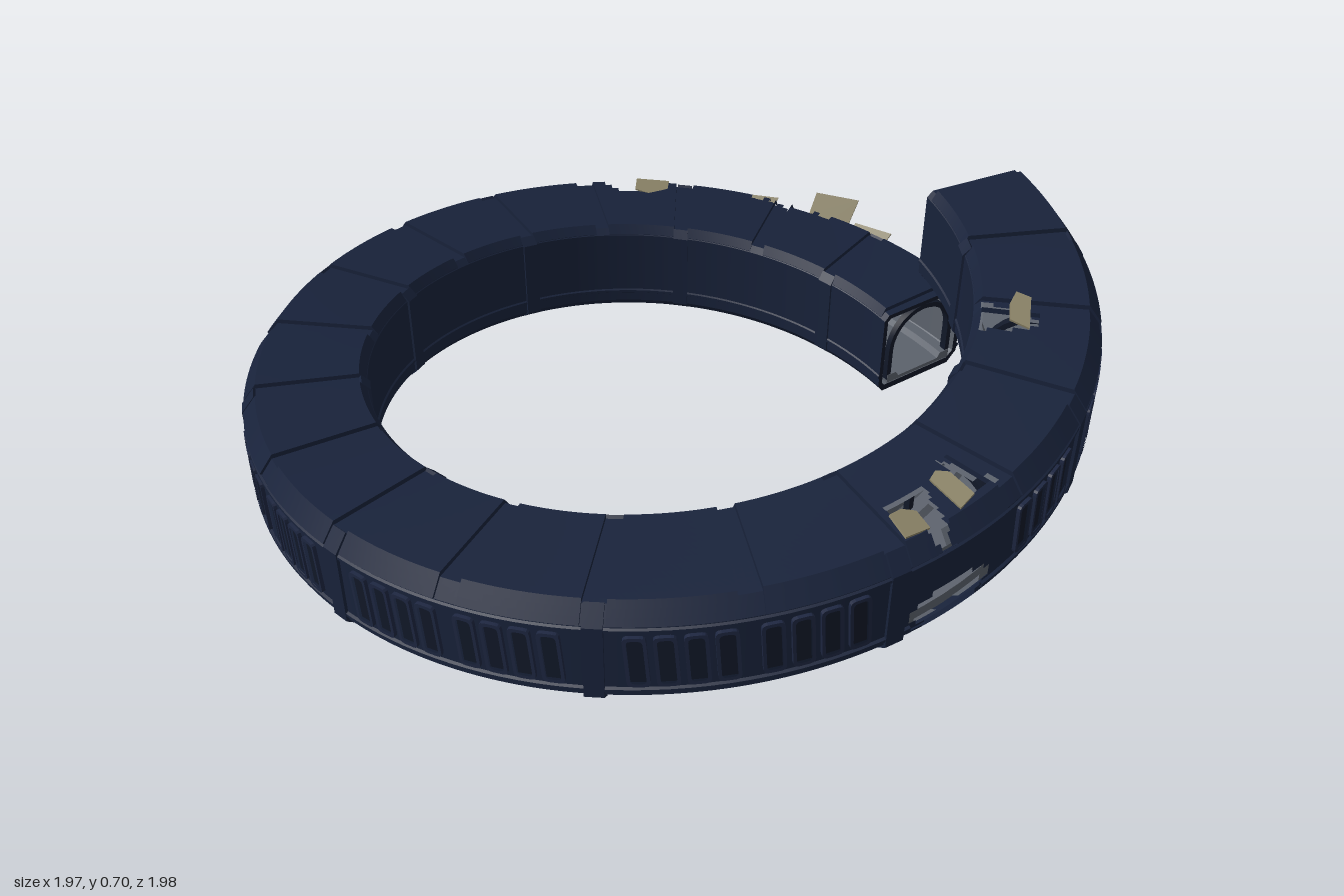
import * as THREE from 'three';
import { toCreasedNormals } from 'three/addons/utils/BufferGeometryUtils.js';

const START = -4.4, END = 346.4, RISE = 0.44, MODULE = (END - START) / 10;
const NAVY = 0x18223a, DARK = 0x111828, OLIVE = 0x3a3626, TAN = 0x8c8468, STEEL = 0x5c626c;
const rad = THREE.MathUtils.degToRad;

// Point on the rising ring: angle from the back towards -x, radius, height above the underside
const ringY = t => RISE * (t - START) / (END - START);
const at = (t, r, h) => new THREE.Vector3(-r * Math.sin(rad(t)), ringY(t) + h, -r * Math.cos(rad(t)));

// Broken openings, each a test on angle, radius and height
const inTri = (u, v) => v > 0 && v < 1 && Math.abs(u) < 1 - v * 0.75;
const jag = t => 0.008 * Math.sin(t * 2.1) + 0.005 * Math.sin(t * 4.7);
const holes = [
  (t, r, h) => t > 19 && t < 46 && r > 0.935 + jag(t) + Math.abs(t - 28) * 0.0018 && h > 0.055 + jag(t),
  (t, r, h) => r > 0.89 && h > 0.1 && Math.abs(t - 57.5) < 5.5 - (0.982 - r) * 35 - (0.25 - h) * 20,
  (t, r, h) => r > 0.95 && Math.hypot((t - 97) / 2.2, (h - 0.11) / 0.045) < 1,
  (t, r, h) => h > 0.22 && inTri((t - 308) / 4.5, (r - 0.72) / 0.13),
  (t, r, h) => h > 0.22 && inTri((t - 273.5) / 2.6, (0.94 - r) / 0.13),
  (t, r, h) => h > 0.22 && inTri((t - 265) / 4, (r - 0.84) / 0.14),
  (t, r, h) => r > 0.95 && Math.hypot((t - 267) / 6, (h - 0.07) / 0.045) < 1,
];
const broken = (t, r, h) => holes.some(f => f(t, r, h));

function quad(list, a, b, c, d) {
  for (const p of [a, b, c, a, c, d]) list.push(p.x, p.y, p.z);
}

function finish(group, name, color, list) {
  const g = new THREE.BufferGeometry();
  g.setAttribute('position', new THREE.Float32BufferAttribute(list, 3));
  const m = new THREE.Mesh(toCreasedNormals(g, 0.45),
    new THREE.MeshStandardMaterial({ color, side: THREE.DoubleSide }));
  m.name = name;
  group.add(m);
  return m;
}

// Split the long edges of a section so openings get a fine outline
function densify(profile, step) {
  const out = [];
  for (let i = 0; i < profile.length - 1; i++) {
    const [a, b] = [profile[i], profile[i + 1]];
    const n = Math.max(1, Math.round(Math.hypot(b[0] - a[0], b[1] - a[1]) / step));
    for (let k = 0; k < n; k++) out.push([a[0] + (b[0] - a[0]) * k / n, a[1] + (b[1] - a[1]) * k / n]);
  }
  return [...out, profile[profile.length - 1]];
}

// Sweep a section along the ring, leaving out broken cells
function sweep(list, profile, t0, t1, steps) {
  for (let s = 0; s < steps; s++) {
    const a = t0 + (t1 - t0) * s / steps, b = t0 + (t1 - t0) * (s + 1) / steps;
    for (let i = 0; i < profile.length - 1; i++) {
      const [p, q] = [profile[i], profile[i + 1]];
      if (broken((a + b) / 2, (p[0] + q[0]) / 2, (p[1] + q[1]) / 2)) continue;
      quad(list, at(a, ...p), at(a, ...q), at(b, ...q), at(b, ...p));
    }
  }
}

// Band between two matching sections, with its sides and both ends
function band(list, outer, inner, t0, t1, steps, step = 1) {
  sweep(list, densify([...outer, ...[...inner].reverse(), outer[0]], step), t0, t1, steps);
  for (const t of [t0, t1]) for (let i = 0; i < outer.length - 1; i++)
    quad(list, at(t, ...outer[i]), at(t, ...outer[i + 1]), at(t, ...inner[i + 1]), at(t, ...inner[i]));
}

const HULL = [[0.7, 0.02], [0.715, 0], [0.95, 0], [0.98, 0.03], [0.98, 0.215], [0.953, 0.25],
  [0.715, 0.25], [0.7, 0.235], [0.7, 0.02]];
const LINER = [[0.712, 0.027], [0.72, 0.018], [0.945, 0.018], [0.966, 0.035], [0.968, 0.21], [0.948, 0.238],
  [0.722, 0.238], [0.712, 0.23], [0.712, 0.027]];

const arch = radius => {
  const pts = [[0.84 + radius, 0.03]];
  for (let i = 0; i <= 14; i++) {
    const a = Math.PI * i / 14;
    pts.push([0.84 + radius * Math.cos(a), 0.125 + radius * Math.sin(a)]);
  }
  return [...pts, [0.84 - radius, 0.03]];
};

function windowGeometry() {
  const slot = (P, w, h, r) => {
    const s = new P();
    s.moveTo(-w, -h + r); s.lineTo(-w, h - r); s.quadraticCurveTo(-w, h, -w + r, h);
    s.lineTo(w - r, h); s.quadraticCurveTo(w, h, w, h - r);
    s.lineTo(w, -h + r); s.quadraticCurveTo(w, -h, w - r, -h);
    s.lineTo(-w + r, -h); s.quadraticCurveTo(-w, -h, -w, -h + r);
    return s;
  };
  const s = slot(THREE.Shape, 0.023, 0.066, 0.012);
  s.holes.push(slot(THREE.Path, 0.016, 0.058, 0.01));
  return new THREE.ExtrudeGeometry(s, { depth: 0.012, bevelEnabled: false, curveSegments: 3 });
}

export function createModel() {
  const group = new THREE.Group();
  group.name = 'brokenRingCorridor';

  // Outer skin, inner lining and the rims of both open ends
  const hull = [], liner = [], rims = [];
  sweep(hull, densify(HULL, 0.014), START, END, 340);
  sweep(liner, densify(LINER, 0.025), START, END, 200);
  for (const t of [START, END]) for (let i = 0; i < HULL.length - 1; i++)
    quad(rims, at(t, ...HULL[i]), at(t, ...HULL[i + 1]), at(t, ...LINER[i + 1]), at(t, ...LINER[i]));
  finish(group, 'hull', NAVY, hull);
  finish(group, 'lining', STEEL, liner);
  finish(group, 'endRims', DARK, rims);

  // Walkway with raised kerbs
  const floor = [];
  band(floor, [[0.73, 0.045], [0.76, 0.045], [0.77, 0.03], [0.91, 0.03], [0.92, 0.045], [0.95, 0.045]],
    [[0.73, 0.02], [0.76, 0.02], [0.77, 0.02], [0.91, 0.02], [0.92, 0.02], [0.95, 0.02]], START, END, 120);
  finish(group, 'walkway', STEEL, floor);

  // Repeating roof slabs, pillars, arches, skirts and underside panels
  const slabs = [], pillars = [], arches = [], under = [], trims = [];
  const addArch = t => band(arches, arch(0.112), arch(0.098), t - 0.6, t + 0.6, 1);
  addArch(START + 0.7);
  addArch(END - 0.7);
  for (let m = 0; m < 10; m++) {
    const mid = START + MODULE * (m + 0.5);
    for (const side of [-1, 1]) {
      const c = mid + side * MODULE / 4;
      band(slabs, [[0.702, 0.238], [0.717, 0.261], [0.952, 0.261], [0.984, 0.219]],
        [[0.702, 0.236], [0.717, 0.248], [0.952, 0.248], [0.978, 0.215]], c - 7.3, c + 7.3, 14, 0.018);
      band(under, [[0.76, 0.001], [0.91, 0.001]], [[0.76, -0.002], [0.91, -0.002]], c - 5.5, c + 5.5, 5);
    }
    // Pillars on the outer and inner walls
    band(pillars, [[0.955, -0.001], [0.987, 0.028], [0.987, 0.216], [0.956, 0.256]],
      [[0.95, 0.002], [0.978, 0.03], [0.978, 0.21], [0.95, 0.248]], mid - 1.2, mid + 1.2, 2);
    band(pillars, [[0.713, 0.001], [0.694, 0.02], [0.694, 0.236], [0.713, 0.256]],
      [[0.72, 0.002], [0.702, 0.02], [0.702, 0.235], [0.72, 0.248]], mid - 1.6, mid + 1.6, 2);
    if (m) addArch(mid - MODULE / 2);
    addArch(mid);
  }
  // Long rails along the walls
  const rail = (r, h, d) => band(trims, [[r, h], [r + d, h + 0.003], [r + d, h + 0.01], [r, h + 0.013]],
    [[r, h + 0.004], [r, h + 0.005], [r, h + 0.008], [r, h + 0.009]], START, END, 160);
  rail(0.98, 0.04, 0.006);
  rail(0.98, 0.2, 0.005);
  rail(0.7, 0.045, -0.004);
  finish(group, 'roofSlabs', NAVY, slabs);
  finish(group, 'wallPillars', NAVY, pillars);
  finish(group, 'tunnelArches', DARK, arches);
  finish(group, 'undersidePanels', OLIVE, under);
  finish(group, 'wallRails', NAVY, trims);

  // Window frames along the outer wall
  const frame = windowGeometry();
  const frameMat = new THREE.MeshStandardMaterial({ color: 0x1d2640 });
  const pane = new THREE.BoxGeometry(0.032, 0.116, 0.004);
  const paneMat = new THREE.MeshStandardMaterial({ color: DARK });
  for (let m = 0; m < 10; m++) for (const off of [-15, -11.6, -8.2, -4.8, 4.8, 8.2, 11.6, 15]) {
    const t = START + MODULE * (m + 0.5) + off;
    if ([-1.6, 0, 1.6].some(d => [0.07, 0.127, 0.19].some(h => broken(t + d, 0.98, h)))) continue;
    const w = new THREE.Group();
    w.name = 'window';
    const p = new THREE.Mesh(pane, paneMat);
    p.position.z = 0.004;
    w.add(new THREE.Mesh(frame, frameMat), p);
    w.position.copy(at(t, 0.976, 0.127));
    w.rotation.set(0, rad(t) + Math.PI, 0.072);
    group.add(w);
  }

  // Torn plates bent away from the openings: angle, radius, height, width, length, tilt, twist
  const plates = [
    [22, 0.965, 0.275, 0.13, 0.09, -1.1, 0.1], [15.5, 0.985, 0.225, 0.12, 0.05, -0.9, 0],
    [36, 0.985, 0.215, 0.12, 0.05, -0.8, 0.1], [31, 0.95, 0.04, 0.16, 0.06, 0.2, -0.1],
    [54, 0.92, 0.262, 0.1, 0.06, -0.25, 0.2], [310, 0.8, 0.262, 0.1, 0.05, 0.2, 0.2],
    [270, 0.9, 0.268, 0.05, 0.1, 0.1, 0.1], [262, 0.92, 0.266, 0.07, 0.07, 0.1, -0.2],
  ];
  for (const [t, r, h, w, l, tilt, twist] of plates) {
    const s = new THREE.Shape([[-0.5, -0.5], [0.45, -0.4], [0.5, 0.3], [0.1, 0.5], [-0.4, 0.4]]
      .map(([x, y]) => new THREE.Vector2(x * w, y * l)));
    const g = new THREE.ExtrudeGeometry(s, { depth: 0.005, bevelEnabled: false }).rotateX(-Math.PI / 2);
    const p = new THREE.Mesh(g, new THREE.MeshStandardMaterial({ color: TAN }));
    p.name = 'tornPlate';
    p.position.copy(at(t, r, h));
    p.rotation.order = 'YXZ';
    p.rotation.set(tilt, rad(t) + Math.PI, twist);
    group.add(p);
  }

  // Loose rubble on the walkway beside the breach
  const stone = new THREE.DodecahedronGeometry(0.012);
  for (let i = 0; i < 9; i++) {
    const p = new THREE.Mesh(stone, new THREE.MeshStandardMaterial({ color: TAN, flatShading: true }));
    p.name = 'rubble';
    p.position.copy(at(20 + i * 2.7, 0.89 + 0.05 * Math.sin(i * 2.3), 0.045));
    p.scale.set(1 + 0.5 * Math.sin(i), 0.7, 1);
    p.rotation.y = i;
    group.add(p);
  }
  return group;
}
